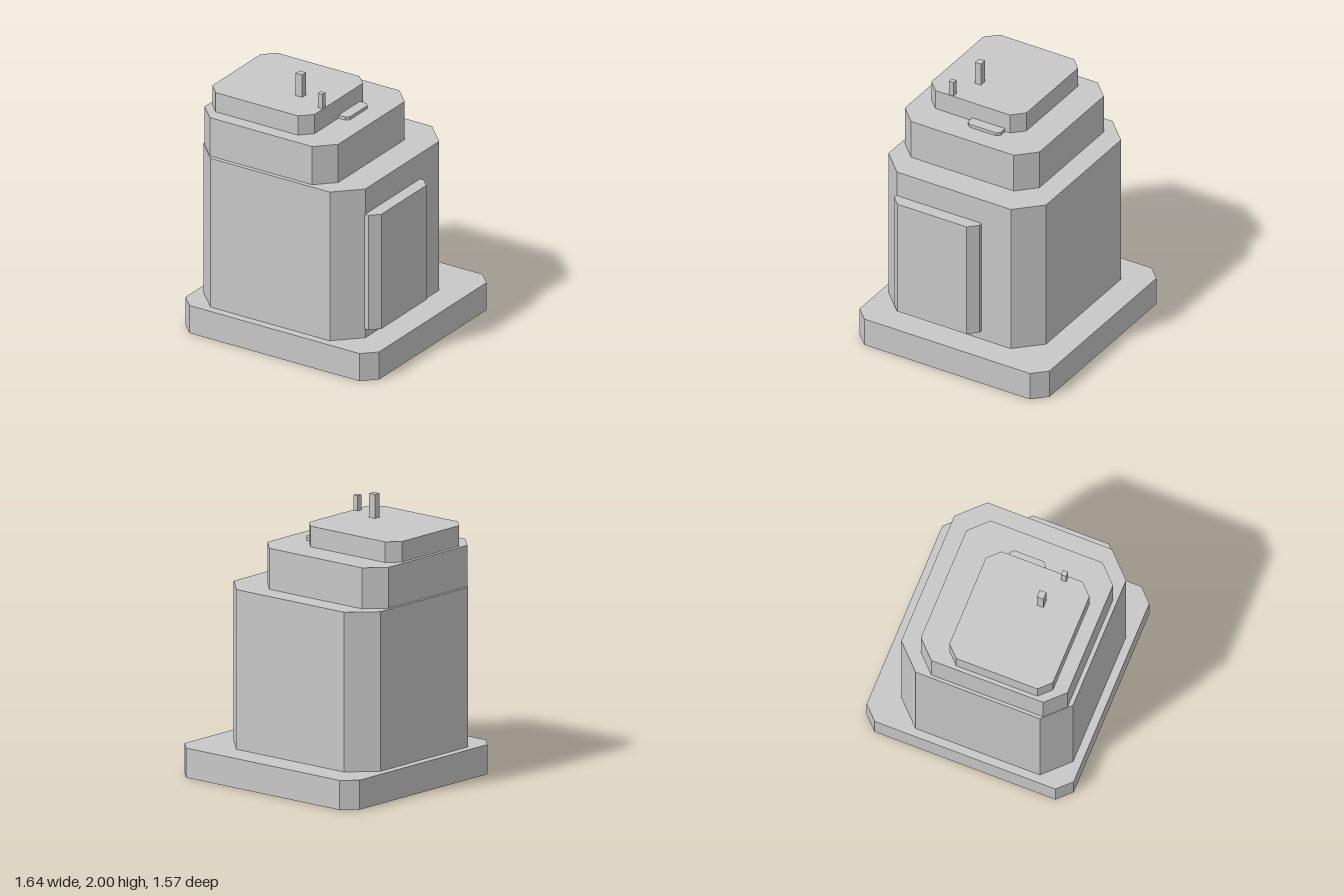
import * as THREE from 'three';

const grey = new THREE.MeshStandardMaterial({ color: 0xc8c8c8 });
grey.name = 'plain grey';

// Upright block with chamfered vertical edges; cl and cr are the chamfers on the -x and +x sides.
function block(name, [x0, x1], [y0, y1], [z0, z1], cr = 0, cl = cr) {
  const outline = [
    [x0 + cl, z0], [x1 - cr, z0], [x1, z0 + cr], [x1, z1 - cr],
    [x1 - cr, z1], [x0 + cl, z1], [x0, z1 - cl], [x0, z0 + cl],
  ].map(([x, z]) => new THREE.Vector2(x, -z));
  // Drop doubled corners where there is no chamfer
  const points = outline.filter((p, i) => !p.equals(outline[(i + 1) % 8]));
  const geometry = new THREE.ExtrudeGeometry(new THREE.Shape(points), {
    depth: y1 - y0, bevelEnabled: false,
  });
  geometry.rotateX(-Math.PI / 2);
  geometry.translate(0, y0, 0);
  const mesh = new THREE.Mesh(geometry, grey);
  mesh.name = name;
  return mesh;
}

export function createModel() {
  const model = new THREE.Group();
  model.name = 'steppedTower';
  model.add(
    // Stacked tiers, from the ground up
    block('base', [-0.82, 0.82], [0, 0.215], [-0.787, 0.787], 0.1),
    block('mainBody', [-0.762, 0.61], [0.215, 1.377], [-0.58, 0.727], 0.181),
    block('upperTier', [-0.74, 0.391], [1.377, 1.675], [-0.42, 0.695], 0.132),
    block('topTier', [-0.712, 0.154], [1.675, 1.825], [-0.195, 0.592], 0.085),
    // Raised bay on the left wall
    block('sideBay', [0.6, 0.705], [0.285, 1.18], [-0.157, 0.55], 0.066, 0),
    // Low ledge beside the top tier
    block('ledge', [0.145, 0.237], [1.675, 1.699], [-0.072, 0.202], 0.025, 0),
    // Roof posts
    block('tallPost', [-0.129, -0.075], [1.825, 2], [0.271, 0.321]),
    block('shortPost', [0.11, 0.148], [1.825, 1.936], [0.36, 0.398]),
  );
  return model;
}
